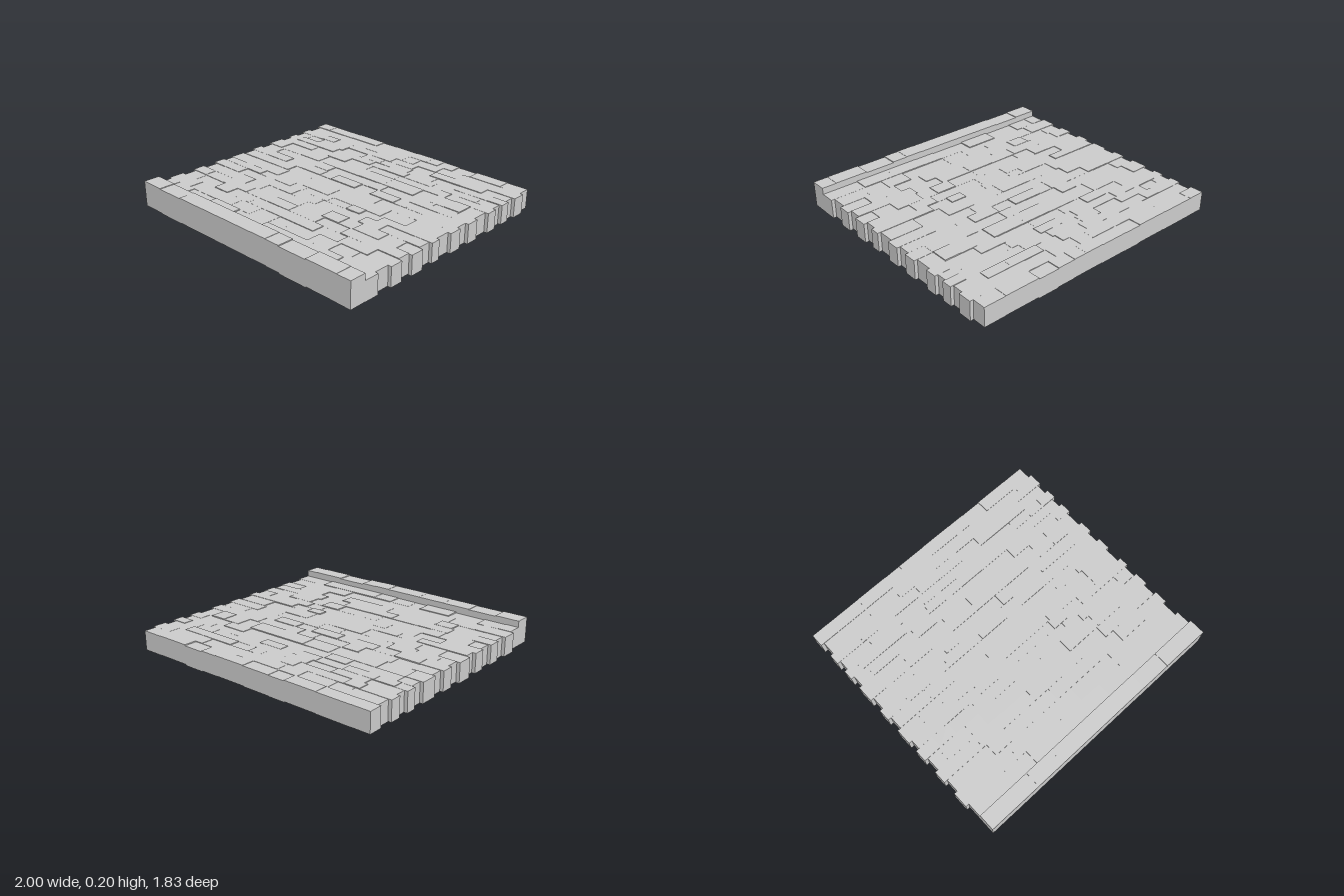
import * as THREE from 'three';
import { mergeGeometries } from 'three/addons/utils/BufferGeometryUtils.js';

// Small seeded generator for the uneven stones
function seeded(seed) {
  return () => {
    seed = (seed * 1664525 + 1013904223) % 4294967296;
    return seed / 4294967296;
  };
}

// Box without an underside
function openBlock(x0, x1, y0, y1, z0, z1) {
  const g = new THREE.BoxGeometry(x1 - x0, y1 - y0, z1 - z0);
  const index = Array.from(g.index.array);
  index.splice(18, 6); // bottom face
  g.setIndex(index);
  g.clearGroups();
  g.translate((x0 + x1) / 2, (y0 + y1) / 2, (z0 + z1) / 2);
  return g;
}

// Random joints that divide a row from x0 to x1
function randomJoints(x0, x1, rand) {
  const joints = [x0];
  let x = x0 + 0.09 + 0.17 * rand();
  while (x < x1 - 0.08) {
    joints.push(x);
    x += 0.1 + 0.17 * rand();
  }
  joints.push(x1);
  return joints;
}

export function createModel() {
  const group = new THREE.Group();
  const material = new THREE.MeshStandardMaterial({
    color: 0xcccccc, flatShading: true, side: THREE.DoubleSide,
  });
  const rand = seeded(41);

  function addRow(name, joints, z0, z1, height, lifts) {
    const blocks = [];
    for (let i = 0; i < joints.length - 1; i++) {
      const lift = lifts ? lifts[i] : 0.009 * rand();
      blocks.push(openBlock(joints[i], joints[i + 1], lift, height + lift, z0, z1));
    }
    const row = new THREE.Mesh(mergeGeometries(blocks), material);
    row.name = name;
    group.add(row);
  }

  // Paving rows from back to front, shifted alternately to left and right
  const rowEdges = [-0.917, -0.82, -0.72, -0.64, -0.565, -0.49, -0.405, -0.28, -0.185,
    -0.097, 0, 0.118, 0.19, 0.28, 0.382, 0.475, 0.572, 0.687, 0.797];
  for (let r = 0; r < rowEdges.length - 1; r++) {
    const odd = r % 2 === 1;
    const joints = randomJoints(odd ? -0.975 : -1, odd ? 1 : 0.975, rand);
    addRow('pavingRow' + (r + 1), joints, rowEdges[r], rowEdges[r + 1], 0.142);
  }

  // Raised kerb along the front
  addRow('kerb', [-0.975, -0.79, -0.57, -0.35, -0.13, 0.16, 0.29, 0.41, 0.64, 0.89, 1],
    0.797, 0.917, 0.188, [0.007, 0.002, 0.006, 0.007, 0.008, 0.01, 0.008, 0.001, 0.007, 0.005]);

  return group;
}
